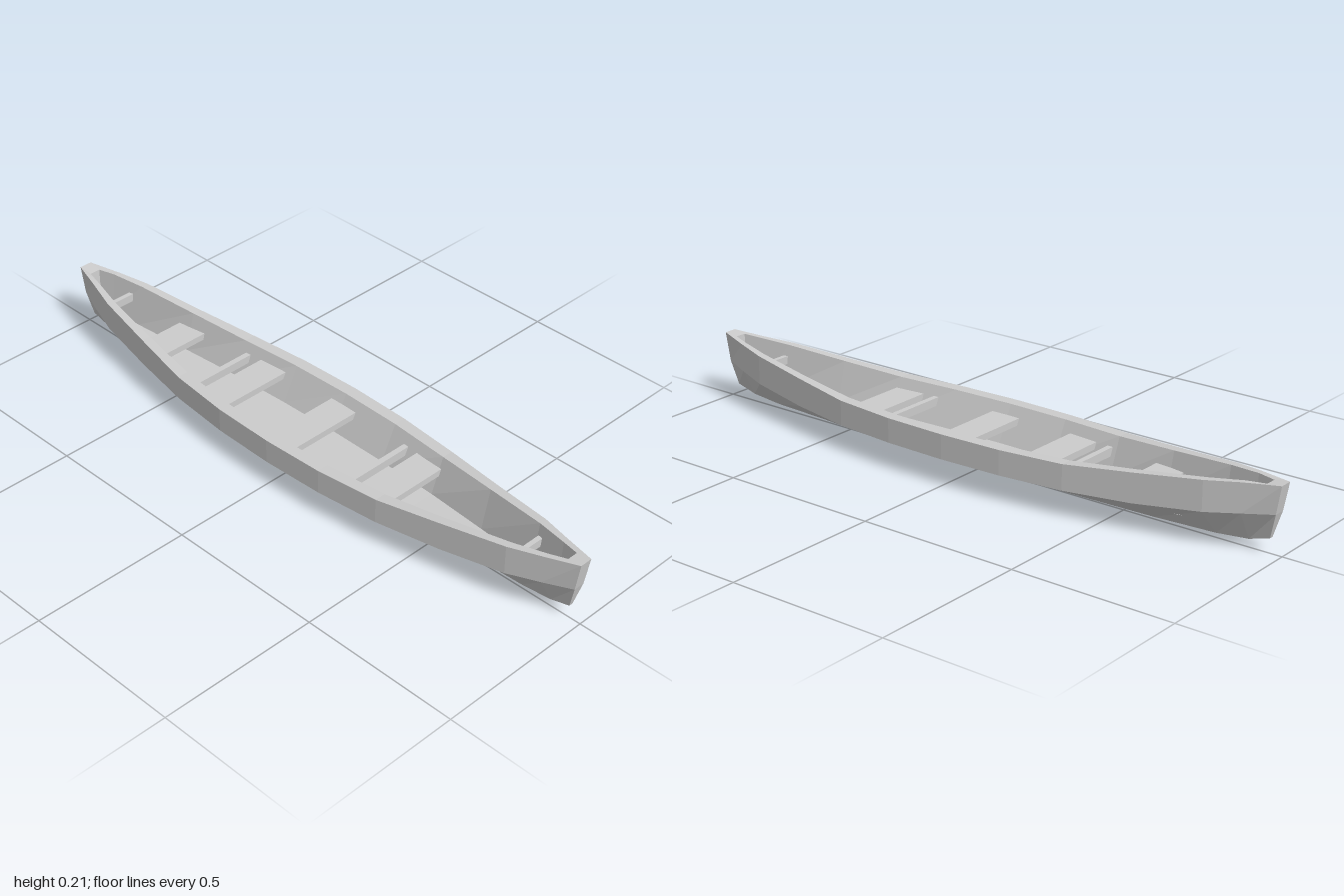
import * as THREE from 'three';

const material = new THREE.MeshStandardMaterial({ color: 0xcccccc, flatShading: true });

// Half of the boat, midship to bow: x, half width, sheer y, chine y, keel y, inner half width, floor half width, floor y
const STATIONS = [
  [0.0, 0.178, 0.155, 0.08, 0.0, 0.14, 0.086, 0.05],
  [0.2, 0.172, 0.155, 0.08, 0.002, 0.135, 0.083, 0.05],
  [0.4, 0.152, 0.157, 0.08, 0.005, 0.117, 0.075, 0.05],
  [0.6, 0.116, 0.172, 0.084, 0.008, 0.088, 0.058, 0.052],
  [0.8, 0.08, 0.19, 0.1, 0.015, 0.056, 0.035, 0.06],
  [0.9, 0.05, 0.199, 0.112, 0.025, 0.032, 0.02, 0.072],
];

// Closed ring: outer skin up the +z side, over the gunwale, across the floor and back down the -z side
function ring(half) {
  const mirrored = half.map(([x, y, z]) => [x, y, -z]).reverse();
  return [...half, ...mirrored];
}

function stationRing([x, w, sheer, chine, keel, inner, floor, floorY], side) {
  const X = x * side;
  return ring([[X, keel, 0.004], [X, chine, w], [X, sheer, w], [X, sheer, inner], [X, floorY, floor]]);
}

// Raked stem at each end
function stemRing(side, tipY) {
  return ring([
    [0.965 * side, 0.045, 0.006], [0.985 * side, 0.12, 0.018], [side, tipY, 0.02],
    [0.955 * side, tipY - 0.005, 0.017], [0.945 * side, 0.085, 0.01],
  ]);
}

function hullGeometry() {
  const rings = [
    stemRing(-1, 0.204),
    ...STATIONS.slice(1).reverse().map((s) => stationRing(s, -1)),
    ...STATIONS.map((s) => stationRing(s, 1)),
    stemRing(1, 0.21),
  ];
  const positions = [];
  const quad = (a, b, c, d) => positions.push(...a, ...b, ...c, ...a, ...c, ...d);
  for (let i = 0; i < rings.length - 1; i++) {
    const a = rings[i], b = rings[i + 1], n = a.length;
    for (let j = 0; j < n; j++) {
      const k = (j + 1) % n;
      quad(a[j], b[j], b[k], a[k]);
    }
  }
  // Stem faces, end decks and inner end walls
  const first = rings[0], last = rings[rings.length - 1];
  for (let j = 0; j < 4; j++) {
    quad(last[j], last[9 - j], last[8 - j], last[j + 1]);
    quad(first[9 - j], first[j], first[j + 1], first[8 - j]);
  }
  const geometry = new THREE.BufferGeometry();
  geometry.setAttribute('position', new THREE.Float32BufferAttribute(positions, 3));
  geometry.computeVertexNormals();
  return geometry;
}

// Half width of the inside at a given x and height
function innerHalfWidth(x, y) {
  const ax = Math.abs(x);
  const i = Math.max(1, STATIONS.findIndex((s) => s[0] >= ax));
  const a = STATIONS[i - 1], b = STATIONS[i];
  const t = (ax - a[0]) / (b[0] - a[0]);
  const at = (k) => THREE.MathUtils.lerp(a[k], b[k], t);
  return THREE.MathUtils.mapLinear(y, at(7), at(2), at(6), at(5));
}

// Board across the boat whose ends follow the inner walls
function crossBoard(name, x0, x1, top, thickness) {
  const geometry = new THREE.BoxGeometry(x1 - x0, thickness, 2);
  geometry.translate((x0 + x1) / 2, top - thickness / 2, 0);
  const p = geometry.attributes.position;
  for (let i = 0; i < p.count; i++) {
    p.setZ(i, Math.sign(p.getZ(i)) * (innerHalfWidth(p.getX(i), p.getY(i)) + 0.002));
  }
  geometry.computeVertexNormals();
  const mesh = new THREE.Mesh(geometry, material);
  mesh.name = name;
  return mesh;
}

export function createModel() {
  const canoe = new THREE.Group();
  canoe.name = 'canoe';

  const hull = new THREE.Mesh(hullGeometry(), material);
  hull.name = 'hull';
  canoe.add(hull);

  // Wide seats
  [[-0.645, -0.548], [-0.328, -0.23], [-0.043, 0.055], [0.308, 0.406]].forEach(([a, b], i) => {
    canoe.add(crossBoard(`seat${i + 1}`, a, b, 0.125, 0.02));
  });

  // Narrow braces
  [[-0.845, -0.83, 0.155], [-0.386, -0.368, 0.125], [0.254, 0.272, 0.125], [0.803, 0.818, 0.155]].forEach(([a, b, top], i) => {
    canoe.add(crossBoard(`brace${i + 1}`, a, b, top, 0.025));
  });

  return canoe;
}
